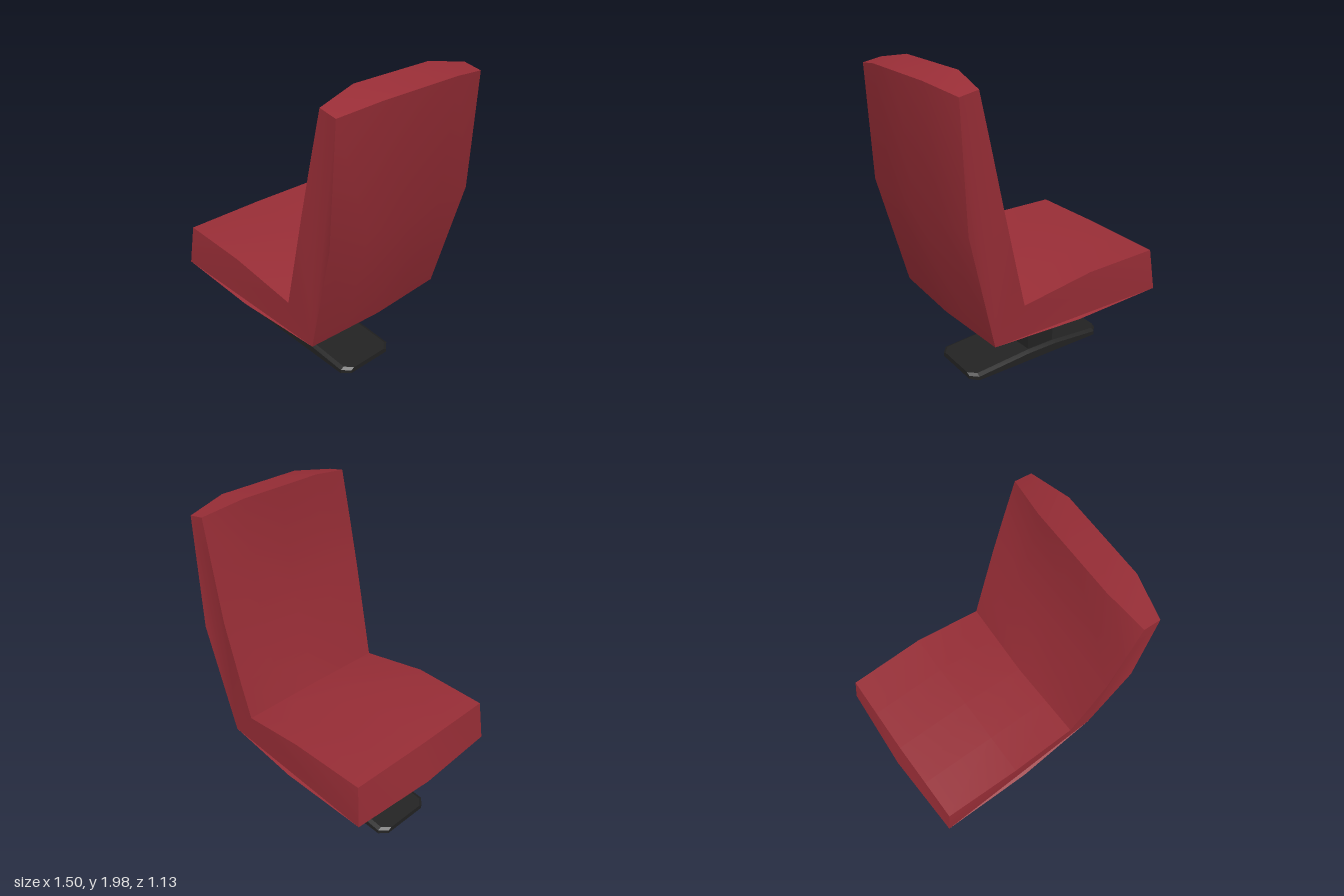
import * as THREE from 'three';
import { toCreasedNormals } from 'three/addons/utils/BufferGeometryUtils.js';

// Skins a row of matching closed loops and caps both ends.
// Loops run counter-clockwise seen from the last one; flat() maps a point to that view.
function loft(loops, flat, crease) {
  const pos = [];
  const n = loops[0].length;
  const tri = (...pts) => pts.forEach((p) => pos.push(p.x, p.y, p.z));
  for (let i = 0; i < loops.length - 1; i++) {
    for (let j = 0; j < n; j++) {
      const k = (j + 1) % n;
      const a = loops[i][j], b = loops[i][k], c = loops[i + 1][k], d = loops[i + 1][j];
      tri(a, b, c);
      tri(a, c, d);
    }
  }
  const first = loops[0], last = loops[loops.length - 1];
  for (const [a, b, c] of THREE.ShapeUtils.triangulateShape(last.map(flat), [])) {
    tri(last[a], last[b], last[c]);
  }
  for (const [a, b, c] of THREE.ShapeUtils.triangulateShape(first.map(flat), [])) {
    tri(first[a], first[c], first[b]);
  }
  const geometry = new THREE.BufferGeometry();
  geometry.setAttribute('position', new THREE.Float32BufferAttribute(pos, 3));
  geometry.computeVertexNormals();
  return toCreasedNormals(geometry, crease);
}

// Side profile of the upholstery: centre x, y, then outer edge x, y, half width
const PROFILE = [
  [-0.75, 0.465, -0.72, 0.468, 0.567], // front bottom
  [-0.2, 0.425, -0.1, 0.446, 0.567],   // underside
  [0.505, 0.432, 0.485, 0.437, 0.522], // rear bottom
  [0.69, 1.17, 0.665, 1.18, 0.556],    // rear bend
  [0.745, 1.965, 0.692, 1.912, 0.545], // rear top
  [0.535, 2.0, 0.578, 1.935, 0.545],   // front of the top
  [0.51, 1.63, 0.515, 1.63, 0.552],    // backrest front
  [0.448, 1.3, 0.448, 1.3, 0.558],
  [0.345, 0.9, 0.35, 0.89, 0.545],
  [0.265, 0.68, 0.29, 0.65, 0.535],    // crook
  [-0.18, 0.74, -0.18, 0.735, 0.555],  // seat top
  [-0.695, 0.742, -0.688, 0.74, 0.545], // front top
];

function upholstery() {
  const loops = [-1, -0.52, 0, 0.52, 1].map((s) => PROFILE.map(([cx, cy, ex, ey, w]) => {
    const t = Math.abs(s);
    const crown = cy > 1.9; // the top edge is rounded rather than pointed
    const tx = crown && t < 1 ? 0 : t;
    const ty = crown && t < 1 ? 0.25 : t;
    return new THREE.Vector3(
      THREE.MathUtils.lerp(cx, ex, tx), THREE.MathUtils.lerp(cy, ey, ty), s * w);
  }));
  return loft(loops, (p) => new THREE.Vector2(p.x, p.y), THREE.MathUtils.degToRad(32));
}

// Foot plate stations along its length: x, half width, height
function footPlate() {
  const stations = [
    [-0.59, 0.16, 0.036], [-0.545, 0.21, 0.04], [-0.205, 0.21, 0.068],
    [0.01, 0.21, 0.068], [0.4, 0.21, 0.04], [0.445, 0.16, 0.036],
  ];
  const loops = stations.map(([x, w, h]) => [
    [w, 0], [-w, 0], [-w, h - 0.014], [-w + 0.025, h], [w - 0.025, h], [w, h - 0.014],
  ].map(([z, y]) => new THREE.Vector3(x, y, z)));
  return loft(loops, (p) => new THREE.Vector2(-p.z, p.y), THREE.MathUtils.degToRad(15));
}

// Post with slightly bowed front and rear faces
function postGeometry() {
  const plan = new THREE.Shape([
    [-0.1, -0.18], [0.1, -0.18], [0.11, 0], [0.1, 0.18], [-0.1, 0.18], [-0.11, 0],
  ].map(([x, z]) => new THREE.Vector2(x, z)));
  return new THREE.ExtrudeGeometry(plan, { depth: 0.4, bevelEnabled: false })
    .rotateX(-Math.PI / 2)
    .translate(-0.1, 0.045, 0);
}

export function createModel() {
  const red = new THREE.MeshStandardMaterial({ color: 0x9a2e37 });
  red.name = 'red upholstery';
  const black = new THREE.MeshStandardMaterial({ color: 0x232323 });
  black.name = 'black metal';

  const group = new THREE.Group();
  group.name = 'swivelSeat';
  const add = (name, geometry, material) => {
    const mesh = new THREE.Mesh(geometry, material);
    mesh.name = name;
    group.add(mesh);
  };
  add('seatAndBackrest', upholstery(), red);
  add('post', postGeometry(), black);
  add('footPlate', footPlate(), black);
  return group;
}
